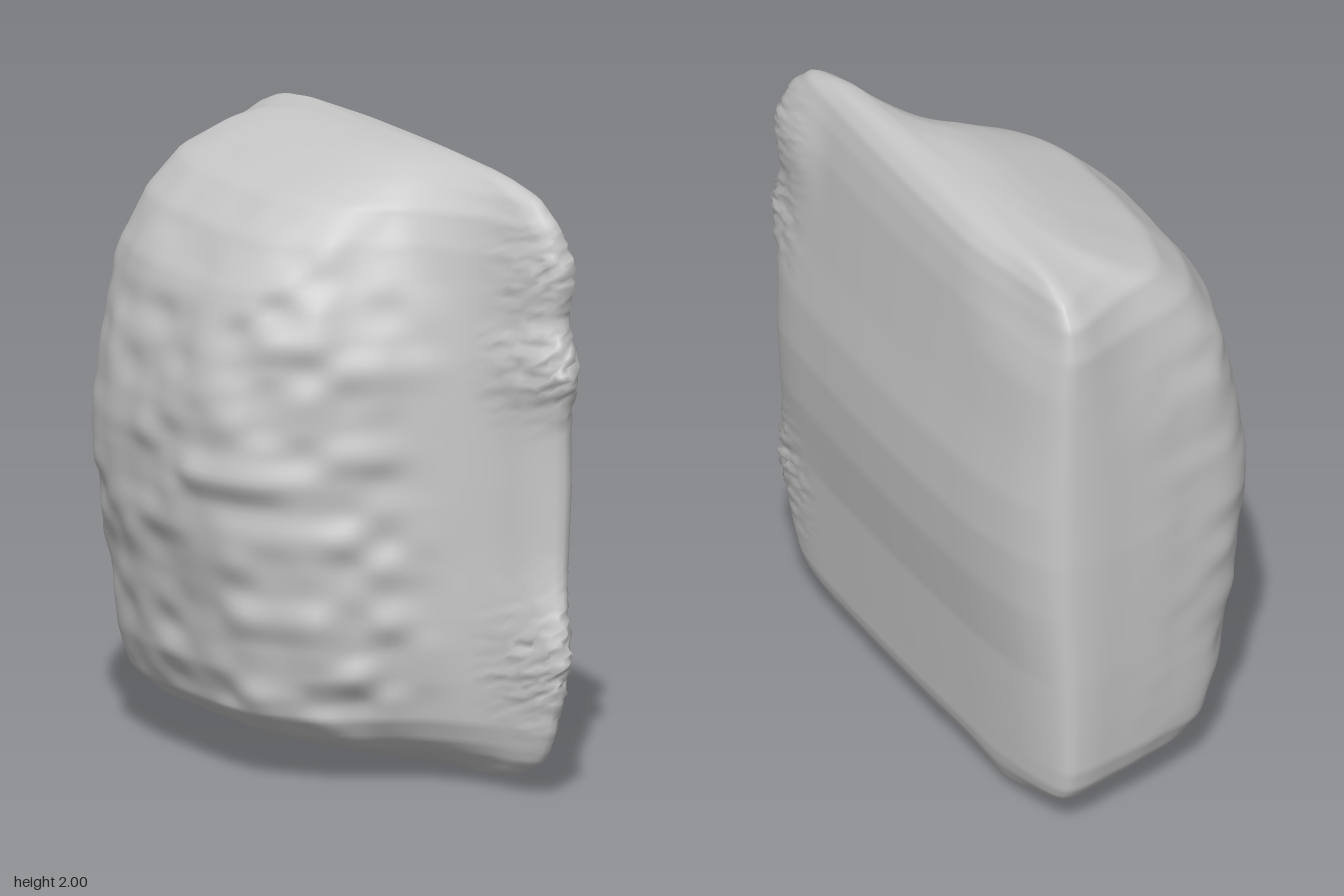
import * as THREE from 'three';

// Widest horizontal outline [x, z], running back -> flat side -> front tip -> front slope -> rough side
const OUTLINE = [
  [0.27, -0.92], [0.36, -0.91], [0.43, -0.8], [0.475, -0.6], [0.495, -0.3], [0.5, 0.1], [0.49, 0.45],
  [0.47, 0.72], [0.44, 0.82], [0.39, 0.86], [0.31, 0.8], [0.23, 0.68], [0.14, 0.59], [0, 0.5],
  [-0.15, 0.44], [-0.28, 0.37], [-0.4, 0.25], [-0.48, 0.07], [-0.5, -0.2], [-0.49, -0.45],
  [-0.43, -0.66], [-0.33, -0.78], [-0.1, -0.85], [0.1, -0.89],
];

// Extents of each level: [y, xMin, xMax, zBack, zFront]
const LEVELS = [
  [0.03, 0.13, 0.35, -0.66, 0.55], [0.06, 0.02, 0.385, -0.78, 0.68], [0.11, -0.17, 0.41, -0.87, 0.77],
  [0.15, -0.27, 0.42, -0.895, 0.8], [0.22, -0.355, 0.425, -0.91, 0.83], [0.35, -0.4, 0.435, -0.915, 0.84],
  [0.55, -0.43, 0.45, -0.92, 0.85], [0.8, -0.48, 0.49, -0.92, 0.84], [1.0, -0.5, 0.505, -0.92, 0.84],
  [1.2, -0.49, 0.5, -0.915, 0.84], [1.4, -0.46, 0.475, -0.91, 0.84], [1.6, -0.4, 0.455, -0.905, 0.84],
  [1.75, -0.31, 0.44, -0.9, 0.84], [1.86, -0.19, 0.42, -0.875, 0.82], [1.93, -0.01, 0.4, -0.82, 0.75],
  [1.97, 0.1, 0.37, -0.73, 0.6], [1.99, 0.18, 0.34, -0.58, 0.3],
];

const PIVOT = 0.3;
const RING = 160;
const ROWS = 120;
const Y0 = LEVELS[0][0], Y1 = LEVELS[LEVELS.length - 1][0];
const { smoothstep, lerp } = THREE.MathUtils;

// Repeatable value in -1..1
function hash(a, b) {
  const s = Math.sin(a * 12.9898 + b * 78.233) * 43758.5453;
  return (s - Math.floor(s)) * 2 - 1;
}

const bell = (d, w) => Math.exp(-((d / w) ** 2));

// Smooth irregular bumps from a lattice of repeatable values
function bumps(u, v) {
  const i = Math.floor(u), j = Math.floor(v);
  const s = smoothstep(u - i, 0, 1), t = smoothstep(v - j, 0, 1);
  return lerp(lerp(hash(i, j), hash(i + 1, j), s), lerp(hash(i, j + 1), hash(i + 1, j + 1), s), t);
}

function levelAt(y) {
  let i = 0;
  while (i < LEVELS.length - 2 && LEVELS[i + 1][0] < y) i++;
  const a = LEVELS[i], b = LEVELS[i + 1];
  const t = (y - a[0]) / (b[0] - a[0]);
  return a.map((v, k) => lerp(v, b[k], t));
}

function bodyGeometry() {
  const curve = new THREE.CatmullRomCurve3(
    OUTLINE.map(([x, z]) => new THREE.Vector3(x, 0, z)), true, 'centripetal');
  const ring = curve.getSpacedPoints(RING).slice(0, RING);
  const positions = [];
  const index = [];

  for (let i = 0; i < ROWS; i++) {
    // rows packed more tightly toward the rounded top and bottom
    const t = i / (ROWS - 1);
    const y0 = Y0 + (Y1 - Y0) * (0.5 * t + 0.25 - 0.25 * Math.cos(Math.PI * t));
    const [, xMin, xMax, zBack, zFront] = levelAt(y0);
    const high = smoothstep(y0, 1.35, 1.9);
    const low = 1 - smoothstep(y0, 0.1, 0.5);

    ring.forEach((p, j) => {
      let y = y0;
      let x = p.x < PIVOT
        ? PIVOT + (p.x - PIVOT) * (PIVOT - xMin) / 0.8
        : PIVOT + (p.x - PIVOT) * (xMax - PIVOT) / 0.2;
      let z = p.z < 0 ? p.z * zBack / -0.92 : p.z * zFront / 0.86;

      // front slope and upper back corner lean inward
      const rear = smoothstep(0.28 - p.x, 0, 0.4);
      z *= 1 - rear * (p.z > 0 ? 0.24 * high + 0.12 * low : 0.06 * high);

      // softened upper back corner of the flat side
      if (p.x > PIVOT) {
        x = lerp(x, PIVOT, 0.35 * smoothstep(y0, 1.6, 1.9) * smoothstep(-p.z, 0.35, 0.8));
      }

      // rough stone on the thick side, strongest on the front slope
      const rough = smoothstep(0.2 - p.x, 0, 0.35) * smoothstep(y0, 0.05, 0.3) * (1 - 0.7 * high);
      const wave = rough * bumps(y0 * 11, j * 0.22);
      x -= 0.014 * wave;
      z += 0.016 * wave * smoothstep(p.z, 0, 0.2);

      // two crumbly lumps wrapped round the front edge
      const lump = Math.max(bell(y0 - 1.4, 0.13), 0.55 * bell(y0 - 1.7, 0.16), 0.85 * bell(y0 - 0.46, 0.17))
        * smoothstep(z, 0.54, 0.8) * smoothstep(p.x, 0.15, 0.25);
      z += lump * (0.06 + 0.018 * hash(i, j));
      x += lump * 0.014 * hash(j, i + 7);
      if (p.x > 0.4) x += 0.03 * bell(y0 - 1.72, 0.16) * smoothstep(z, 0.5, 0.7);

      // shallow foot under the back corner
      y -= 0.03 * bell(z + 0.55, 0.12) * (1 - smoothstep(y0, 0.03, 0.2));
      positions.push(x, y, z);
    });
  }

  for (let i = 0; i < ROWS - 1; i++) {
    for (let j = 0; j < RING; j++) {
      const a = i * RING + j, b = i * RING + (j + 1) % RING;
      index.push(a, a + RING, b, b, a + RING, b + RING);
    }
  }

  // closing fans
  const bottom = positions.length / 3, top = bottom + 1;
  const last = (ROWS - 1) * RING;
  positions.push(0.25, 0.03, -0.05, 0.27, 2, -0.12);
  for (let j = 0; j < RING; j++) {
    const k = (j + 1) % RING;
    index.push(bottom, j, k, top, last + k, last + j);
  }

  const geometry = new THREE.BufferGeometry();
  geometry.setAttribute('position', new THREE.Float32BufferAttribute(positions, 3));
  geometry.setIndex(index);
  geometry.computeVertexNormals();
  return geometry;
}

export function createModel() {
  const group = new THREE.Group();
  group.name = 'stoneBlock';
  const stone = new THREE.MeshStandardMaterial({ color: 0xc8c8c8 });
  stone.name = 'stone grey';

  const body = new THREE.Mesh(bodyGeometry(), stone);
  body.name = 'stoneBody';
  group.add(body);
  return group;
}
